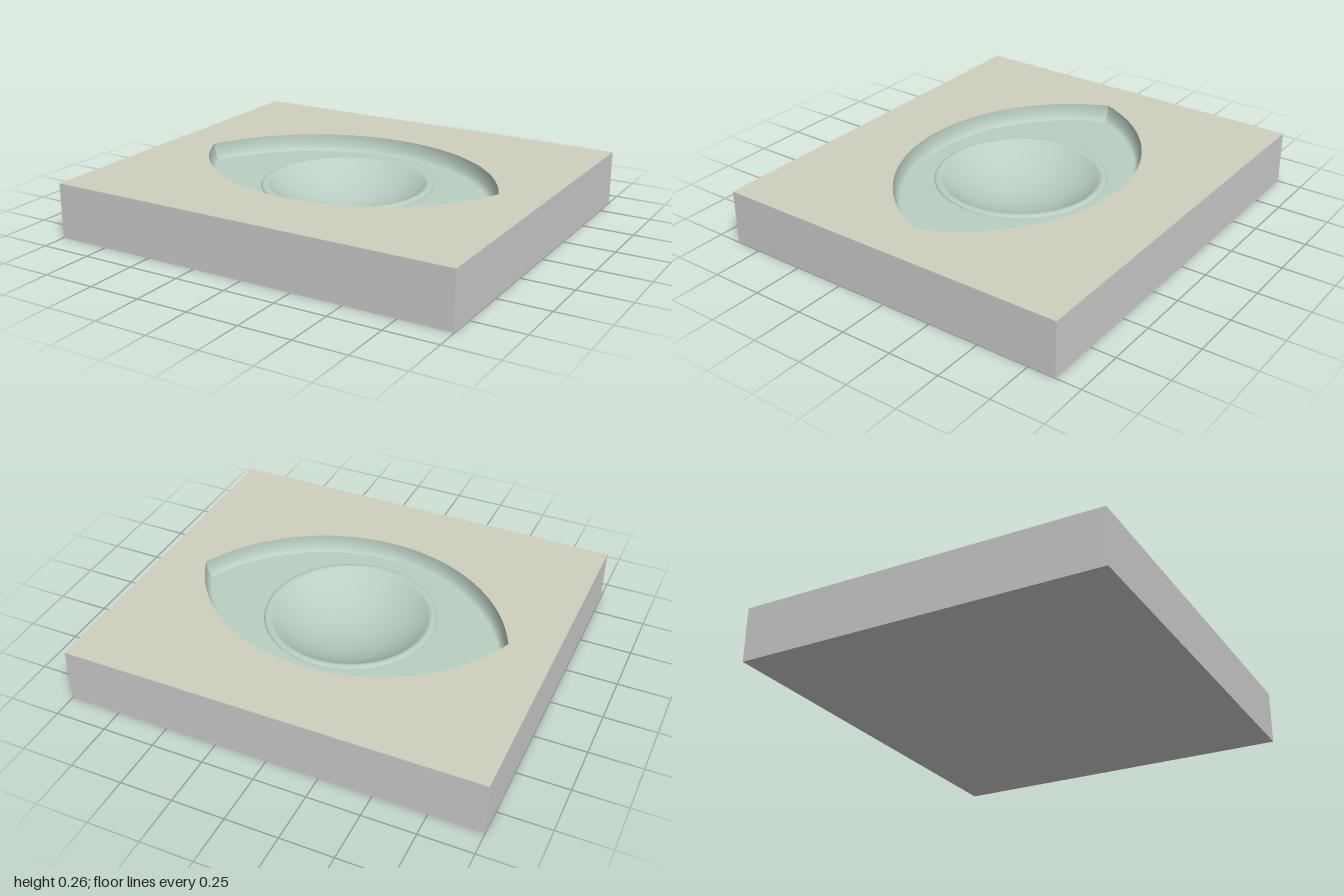
import * as THREE from 'three';
import { ParametricGeometry } from 'three/addons/geometries/ParametricGeometry.js';

const W = 2, D = 1.76, TOP = 0.265, FLOOR = 0.185;
const RIM = { w: 0.78, h: 0.525 }, INNER = { w: 0.745, h: 0.49 };
const BOWL_R = 0.41, BOWL_DEPTH = 0.13;

// Point on the upper arc of a pointed lens; t runs 0..1 from the right tip to the left tip
function lensPoint(w, h, t) {
  const r = (w * w + h * h) / (2 * h);
  const a = Math.asin(w / r) * (1 - 2 * t);
  return new THREE.Vector2(r * Math.sin(a), r * Math.cos(a) - (r - h));
}

function lensOutline({ w, h }, n = 64) {
  const pts = [];
  for (let i = 0; i < n; i++) pts.push(lensPoint(w, h, i / n));
  for (let i = 0; i < n; i++) pts.push(lensPoint(w, h, i / n).negate());
  return pts;
}

export function createModel() {
  const group = new THREE.Group();
  const paint = (color) => new THREE.MeshStandardMaterial({ color, side: THREE.DoubleSide });
  const grey = paint(0xcccccc), cream = paint(0xd0d0be), green = paint(0xbacec2);

  const add = (name, geometry, material) => {
    const mesh = new THREE.Mesh(geometry, material);
    mesh.name = name;
    group.add(mesh);
    return mesh;
  };
  // Horizontal sheet facing up, with one hole
  const addSheet = (name, shape, hole, y, material) => {
    shape.holes.push(hole);
    const g = new THREE.ShapeGeometry(shape, 96);
    g.rotateX(-Math.PI / 2);
    add(name, g, material).position.y = y;
  };

  // Block sides and underside, left open on top
  const box = new THREE.BoxGeometry(W, TOP, D);
  const index = Array.from(box.index.array);
  index.splice(12, 6);
  box.setIndex(index);
  box.clearGroups();
  add('blockSides', box, grey).position.y = TOP / 2;

  // Top face with the lens-shaped opening
  const x = W / 2, z = D / 2;
  const rect = new THREE.Shape([[-x, -z], [x, -z], [x, z], [-x, z]].map((p) => new THREE.Vector2(...p)));
  addSheet('blockTop', rect, new THREE.Path(lensOutline(RIM)), TOP, cream);

  // Pocket floor around the bowl
  const circle = new THREE.Path();
  circle.absarc(0, 0, BOWL_R, 0, Math.PI * 2, true);
  addSheet('pocketFloor', new THREE.Shape(lensOutline(INNER)), circle, FLOOR, green);

  // Coved pocket walls, one per arc of the lens
  const cove = (u, v, target) => {
    const a = v * Math.PI / 2, k = Math.cos(a);
    const p = lensPoint(
      THREE.MathUtils.lerp(INNER.w, RIM.w, k),
      THREE.MathUtils.lerp(INNER.h, RIM.h, k), u);
    target.set(p.x, TOP - (TOP - FLOOR) * Math.sin(a), -p.y);
  };
  const wall = new ParametricGeometry(cove, 64, 10);
  add('pocketWallBack', wall, green);
  add('pocketWallFront', wall, green).rotation.y = Math.PI;

  // Round bowl with a slightly raised soft lip
  const profile = [];
  const lipR = 0.02, lipH = 0.012;
  for (let i = 0; i <= 8; i++) {
    const a = (i / 8) * Math.PI * 0.8;
    profile.push(new THREE.Vector2(BOWL_R - lipR + lipR * Math.cos(a), FLOOR + lipH * Math.sin(a)));
  }
  const edge = profile[profile.length - 1];
  const r = edge.x, sphere = (r * r + BOWL_DEPTH * BOWL_DEPTH) / (2 * BOWL_DEPTH);
  const span = Math.asin(r / sphere);
  for (let i = 1; i <= 24; i++) {
    const a = span * (1 - i / 24);
    profile.push(new THREE.Vector2(Math.max(0, sphere * Math.sin(a)),
      edge.y - BOWL_DEPTH + sphere * (1 - Math.cos(a))));
  }
  add('bowl', new THREE.LatheGeometry(profile, 96), green);

  return group;
}
